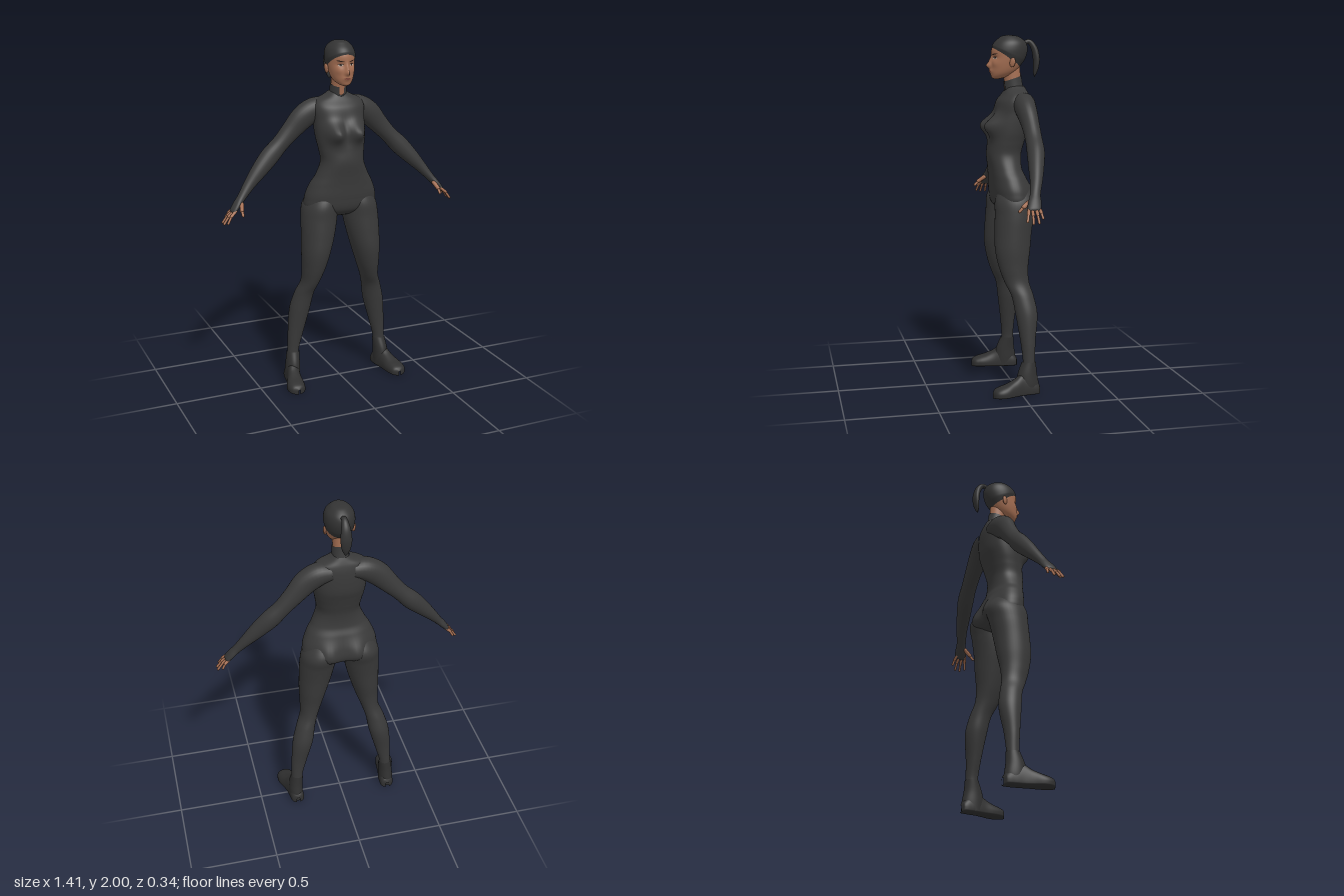
import * as THREE from 'three';

const mat = (name, color, side = THREE.FrontSide) => {
  const m = new THREE.MeshStandardMaterial({ color, side });
  m.name = name;
  return m;
};

// Smooth interpolation of rows whose first column is a monotone key.
function sample(rows, k) {
  const dir = Math.sign(rows[1][0] - rows[0][0]);
  let i = 0;
  while (i < rows.length - 2 && (k - rows[i + 1][0]) * dir > 0) i++;
  const a = rows[i], b = rows[i + 1], p = rows[i - 1] || a, n = rows[i + 2] || b;
  const h = b[0] - a[0], t = THREE.MathUtils.clamp((k - a[0]) / h, 0, 1), t2 = t * t, t3 = t2 * t;
  return a.map((va, c) => {
    const m0 = (b[c] - p[c]) / (b[0] - p[0]) * h, m1 = (n[c] - va) / (n[0] - a[0]) * h;
    return (2 * t3 - 3 * t2 + 1) * va + (t3 - 2 * t2 + t) * m0 + (3 * t2 - 2 * t3) * b[c] + (t3 - t2) * m1;
  });
}

// Closed-ring surface from point(v, angle); mirrored in x by s, facing outward.
function loft(point, s = 1, nv = 44, nu = 40) {
  const pos = [], idx = [], mid = new THREE.Vector3();
  for (let i = 0; i <= nv; i++) for (let j = 0; j < nu; j++) {
    const p = point(i / nv, j / nu * Math.PI * 2);
    pos.push(p.x * s, p.y, p.z);
    mid.add(new THREE.Vector3(p.x * s, p.y, p.z));
  }
  mid.divideScalar(pos.length / 3);
  for (let i = 0; i < nv; i++) for (let j = 0; j < nu; j++) {
    const k = (j + 1) % nu, a = i * nu + j, b = i * nu + k, c = a + nu, d = b + nu;
    idx.push(a, b, c, b, d, c);
  }
  const at = i => new THREE.Vector3().fromArray(pos, i * 3).sub(mid);
  let volume = 0;
  for (let i = 0; i < idx.length; i += 3) volume += at(idx[i]).dot(at(idx[i + 1]).cross(at(idx[i + 2])));
  if (volume < 0) idx.reverse();
  const g = new THREE.BufferGeometry();
  g.setAttribute('position', new THREE.Float32BufferAttribute(pos, 3));
  g.setIndex(idx);
  g.computeVertexNormals();
  return g;
}

const spow = (v, p) => Math.sign(v) * Math.abs(v) ** p;
const gauss = (x, y, sx, sy) => Math.exp(-((x / sx) ** 2) - (y / sy) ** 2);
const lerp = THREE.MathUtils.lerp;

// Horizontal ring; rows are [y, centreX, halfWidth, zFront, zBack].
function ring(rows, y, th, power = 1, bump = () => 0) {
  const [, xc, w, zf, zb] = sample(rows, y);
  const x = xc + w * spow(Math.cos(th), power);
  const z = (zf + zb) / 2 + (zf - zb) / 2 * spow(Math.sin(th), power);
  return new THREE.Vector3(x, y, z + bump(x, y, Math.sin(th)));
}
const column = (rows, s, power, bump, nv, nu) =>
  loft((v, th) => ring(rows, lerp(rows[0][0], rows.at(-1)[0], v), th, power, bump), s, nv, nu);

// Tube along a path; rows are [x, y, z, thickness, breadth], breadth along side.
function sweep(path, side, s) {
  const rows = path.map((r, i) => [i, ...r]), end = rows.length - 1;
  const c = t => new THREE.Vector3(...sample(rows, THREE.MathUtils.clamp(t, 0, end)).slice(1, 4));
  return loft((v, th) => {
    const t = v * end, r = sample(rows, t);
    const n = c(t + 0.05).sub(c(t - 0.05)).cross(side).normalize();
    return c(t).addScaledVector(n, r[4] * Math.sin(th)).addScaledVector(side, r[5] * Math.cos(th));
  }, s, 48, 28);
}

const TORSO = [[1.715, 0, .045, .02, -.08], [1.695, 0, .075, .03, -.09], [1.67, 0, .13, .045, -.1],
  [1.63, 0, .15, .075, -.108], [1.56, 0, .148, .09, -.11], [1.5, 0, .145, .105, -.105],
  [1.45, 0, .14, .115, -.09], [1.4, 0, .131, .127, -.075], [1.33, 0, .124, .135, -.058],
  [1.25, 0, .155, .125, -.06], [1.2, 0, .185, .12, -.08], [1.12, 0, .213, .115, -.1],
  [1.05, 0, .2, .1, -.1], [1.015, 0, .1, .06, -.06], [1.0, 0, .01, .02, -.02]];
const LEG = [[1.16, .1, .07, .08, -.08], [1.08, .118, .1, .112, -.125], [1, .128, .103, .115, -.108],
  [.9, .14, .095, .12, -.09], [.8, .155, .082, .12, -.078], [.7, .17, .065, .1, -.064],
  [.62, .187, .052, .072, -.066], [.55, .212, .055, .04, -.085], [.45, .235, .06, .022, -.102],
  [.3, .262, .046, 0, -.085], [.2, .277, .034, -.01, -.08], [.15, .28, .033, -.01, -.08]];
const BOOT = [[.185, .278, .037, -.006, -.084], [.12, .285, .04, .02, -.088],
  [.06, .288, .042, .03, -.098], [.01, .288, .04, .03, -.1]];
const FOOT = [[-.106, .285, .012, .04], [-.096, .285, .034, .06], [-.05, .288, .042, .1], [0, .295, .042, .12],
  [.04, .305, .045, .095], [.09, .317, .053, .072], [.13, .322, .05, .06], [.158, .322, .036, .047], [.171, .322, .006, .03]];
const ARM = [[.06, 1.625, -.05, .05, .06], [.13, 1.615, -.05, .065, .062], [.2, 1.572, -.05, .068, .056],
  [.27, 1.5, -.055, .056, .048], [.335, 1.432, -.055, .048, .046], [.4, 1.367, -.05, .053, .048],
  [.47, 1.295, -.035, .045, .042], [.53, 1.23, -.02, .033, .034], [.585, 1.165, 0, .023, .029],
  [.615, 1.13, .01, .02, .036], [.643, 1.097, .018, .014, .036], [.652, 1.087, .02, .002, .02]];
const NECK = [[1.685, 0, .043, .028, -.075], [1.75, 0, .04, .036, -.062], [1.83, 0, .04, .05, -.055]];
const HEAD = [[1.754, 0, .004, .09, .07], [1.76, 0, .025, .104, .04], [1.775, 0, .045, .11, 0],
  [1.8, 0, .06, .112, -.035], [1.84, 0, .071, .111, -.065], [1.88, 0, .077, .108, -.086],
  [1.92, 0, .078, .106, -.094], [1.955, 0, .069, .088, -.085], [1.98, 0, .048, .06, -.058],
  [1.992, 0, .028, .04, -.03], [1.997, 0, .001, .011, .009]];
const TAIL = [[0, 1.95, -.07, .012, .014], [0, 1.962, -.11, .014, .016], [0, 1.925, -.14, .018, .025],
  [0, 1.87, -.152, .019, .031], [0, 1.82, -.15, .015, .026], [0, 1.785, -.144, .009, .014], [0, 1.765, -.141, .001, .001]];

const bodyBump = (x, y, s) => s > 0
  ? .072 * s * gauss(Math.abs(x) - .072, y - 1.495, .052, .055)
  : .035 * s * gauss(Math.abs(x) - .09, y - 1.09, .06, .07);
// Nose, eye sockets, lips and cheekbones.
const faceBump = (x, y, s) => s < 0 ? 0 : .024 * gauss(x, y - 1.828, .012, .016) + .012 * gauss(x, y - 1.855, .009, .024)
  - .009 * gauss(Math.abs(x) - .032, y - 1.872, .02, .013) + .008 * gauss(x, y - 1.798, .022, .012)
  + .005 * gauss(Math.abs(x) - .045, y - 1.838, .018, .018);
const headPoint = (y, th) => ring(HEAD, y, th, 1, faceBump);
const easeEnds = v => (1 - Math.cos(v * Math.PI)) / 2;

// Thin elliptical plate wrapped on the face.
function facePatch(cx, cy, rx, ry, lift, tilt = 0) {
  const g = new THREE.CircleGeometry(1, 20), p = g.attributes.position;
  for (let i = 0; i < p.count; i++) {
    const x = cx + p.getX(i) * rx, y = cy + p.getY(i) * ry + p.getX(i) * tilt;
    p.setXYZ(i, x, y, headPoint(y, Math.acos(x / sample(HEAD, y)[2])).z + lift);
  }
  g.computeVertexNormals();
  return g;
}

export function createModel() {
  const model = new THREE.Group();
  model.name = 'standingWoman';
  const suit = mat('suit charcoal', 0x393939), shoe = mat('shoe black', 0x303030);
  const hair = mat('hair black', 0x333333, THREE.DoubleSide), skin = mat('skin brown', 0xa46e52);
  const collarMat = mat('collar charcoal', 0x393939, THREE.DoubleSide);
  const lip = mat('lip brown', 0x844b3e), white = mat('eye white', 0xb5a69a), dark = mat('brow and iris dark', 0x2a1c17);
  const add = (name, geo, m, parent = model) => {
    const mesh = new THREE.Mesh(geo, m);
    mesh.name = name;
    parent.add(mesh);
    return mesh;
  };
  // Rounded segment between two points.
  const bone = (name, a, b, r, s, parent) => {
    const p = new THREE.Vector3(a[0] * s, a[1], a[2]), q = new THREE.Vector3(b[0] * s, b[1], b[2]);
    const m = add(name, new THREE.CapsuleGeometry(r, p.distanceTo(q), 4, 10), skin, parent);
    m.position.copy(p).lerp(q, .5);
    m.quaternion.setFromUnitVectors(new THREE.Vector3(0, 1, 0), q.sub(p).normalize());
  };

  add('torso', column(TORSO, 1, .88, bodyBump, 90, 64), suit);
  add('neck', column(NECK, 1), skin);
  // High collar, lower in front, with an open notch
  add('collar', loft((v, th) => {
    const notch = Math.abs(th - Math.PI / 2) < .32;
    const y = lerp(1.68, notch ? 1.692 : 1.757 - .017 * Math.sin(th), v);
    const p = ring(NECK, y, th);
    return p.add(new THREE.Vector3(Math.cos(th), 0, Math.sin(th)).multiplyScalar(.005));
  }, 1, 8, 72), collarMat);

  // Head and face
  add('head', loft((v, th) => headPoint(lerp(1.754, 1.997, easeEnds(v)), th), 1, 80, 80), skin);
  add('lips', facePatch(0, 1.797, .019, .006, .0015), lip);
  // Hair cap with a curved hairline
  add('hairCap', loft((v, th) => {
    const s = Math.sin(th), low = s > 0 ? 1.865 + .062 * s : 1.865 + .045 * s;
    const y = lerp(low, 1.997, Math.sin(v * Math.PI / 2)), p = headPoint(y, th);
    const off = .005 * Math.min(1, v * 8) * Math.min(1, sample(HEAD, y)[2] / .03);
    return p.add(new THREE.Vector3(Math.cos(th) * off, .003 * v, s * off));
  }, 1, 40, 64), hair);
  add('ponytail', sweep(TAIL, new THREE.Vector3(1, 0, 0), 1), hair);

  for (const s of [1, -1]) {
    const side = s > 0 ? 'left' : 'right';
    add(side + 'Eye', facePatch(s * .032, 1.87, .013, .0055, .001), white);
    add(side + 'Iris', facePatch(s * .032, 1.87, .0055, .0052, .002), dark);
    add(side + 'UpperLid', facePatch(s * .032, 1.876, .015, .0022, .002), dark);
    add(side + 'Brow', facePatch(s * .034, 1.892, .019, .003, .0015, s * .003), dark);
    const ear = add(side + 'Ear', new THREE.SphereGeometry(1, 16, 12), skin);
    ear.scale.set(.008, .027, .016);
    ear.position.set(s * .079, 1.846, .004);
    ear.rotation.set(-.2, s * -.3, s * -.15);

    // Leg and shoe
    add(side + 'Leg', column(LEG, s, 1, undefined, 70, 40), suit);
    add(side + 'ShoeShaft', column(BOOT, s), shoe);
    add(side + 'ShoeFoot', loft((v, th) => {
      const [z, xc, w, h] = sample(FOOT, lerp(-.106, .171, easeEnds(v))), k = Math.sin(th), b = Math.min(.025, h * .5);
      const y = k > 0 ? b + (h - b) * k : b - b * Math.abs(k) ** .35;
      return new THREE.Vector3(xc + w * spow(Math.cos(th), .8), y, z);
    }, s), shoe);

    // Sleeve reaching the knuckles, then bare fingers
    add(side + 'Arm', sweep(ARM, new THREE.Vector3(0, 0, 1), s), suit);
    const hand = new THREE.Group();
    hand.name = side + 'Fingers';
    model.add(hand);
    [[.045, .685, 1.042, .064], [.027, .699, 1.034, .036], [.008, .698, 1.036, .006], [-.009, .674, 1.056, -.02]]
      .forEach(([z, tx, ty, tz], i) => {
        const root = [.634, 1.102, z], mid = [lerp(.634, tx, .5) + .004, lerp(1.102, ty, .5) + .004, lerp(z, tz, .5)];
        bone('finger' + (i + 1) + 'Base', root, mid, .009, s, hand);
        bone('finger' + (i + 1) + 'Tip', mid, [tx, ty, tz], .007, s, hand);
      });
    bone('thumbBase', [.595, 1.135, .03], [.606, 1.108, .066], .012, s, hand);
    bone('thumbTip', [.606, 1.108, .066], [.607, 1.084, .088], .008, s, hand);
  }
  return model;
}
